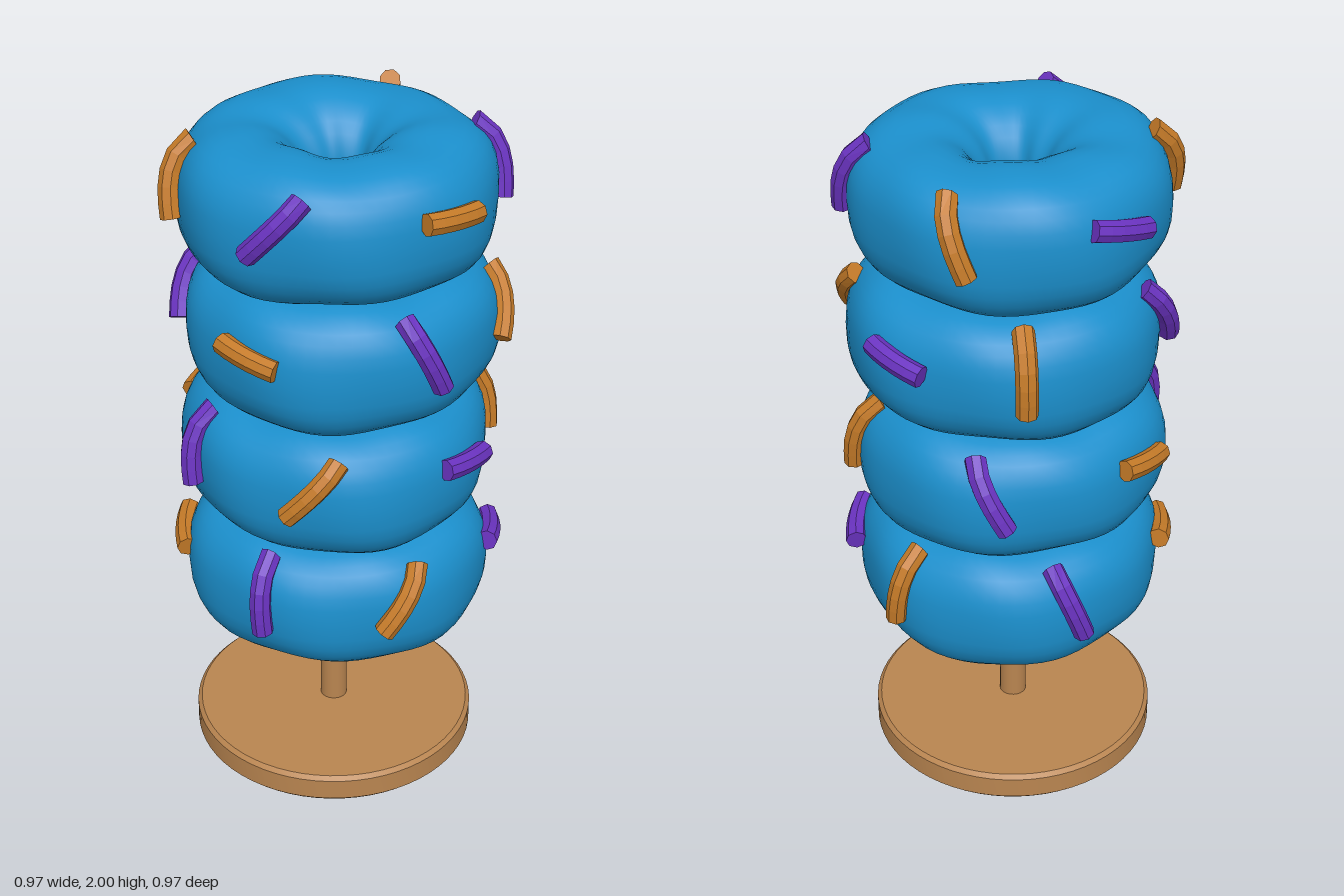
import * as THREE from 'three';
import { mergeVertices, toCreasedNormals } from 'three/addons/utils/BufferGeometryUtils.js';
import { ParametricGeometry } from 'three/addons/geometries/ParametricGeometry.js';

const mat = (color, flatShading = false) => new THREE.MeshStandardMaterial({ color, flatShading });
const rad = THREE.MathUtils.degToRad;

const RING = 0.26, WIDE = 0.18, HALF = 0.193, POW = 2.5; // ring section sizes

// Outer radius of a ring at height y from its middle
function surfaceRadius(y) {
  const k = Math.min(1, Math.abs(y / HALF));
  return RING + WIDE * Math.pow(1 - Math.pow(k, POW), 1 / POW);
}

// Plump, slightly uneven ring with a squared outside and a rounder hole
function ringGeometry(seed) {
  const geo = new ParametricGeometry((u, v, out) => {
    const a = u * Math.PI * 2, b = v * Math.PI * 2;
    const c = Math.cos(b), s = Math.sin(b);
    const p = 2 / (c > 0 ? POW : 2.1);
    const wobble = 0.006 * Math.sin(3 * a + seed) + 0.004 * Math.sin(7 * a + 2 * b + seed * 2);
    const r = RING + Math.sign(c) * Math.pow(Math.abs(c), p) * (WIDE + wobble);
    const y = Math.sign(s) * Math.pow(Math.abs(s), p) * (HALF + wobble * 0.8);
    out.set(r * Math.sin(a), y, r * Math.cos(a));
  }, 64, 32);
  geo.deleteAttribute('uv');
  geo.deleteAttribute('normal');
  const merged = mergeVertices(geo, 1e-4);
  merged.computeVertexNormals();
  return merged;
}

// Short rod bent over the ring surface; angle is around the ring, tilt is from upright
function sprinkleGeometry(angle, tilt, y0, length) {
  const geo = new THREE.CylinderGeometry(0.031, 0.031, length, 8, 5);
  const path = (t) => {
    const y = y0 + t * Math.cos(tilt);
    const a = angle + t * Math.sin(tilt) / 0.44;
    const r = surfaceRadius(y) + 0.016;
    return new THREE.Vector3(r * Math.sin(a), y, r * Math.cos(a));
  };
  const pos = geo.attributes.position;
  const out = new THREE.Vector3(Math.sin(angle), 0, Math.cos(angle));
  for (let i = 0; i < pos.count; i++) {
    const t = pos.getY(i);
    const along = path(t + 0.005).sub(path(t - 0.005)).normalize();
    const side = new THREE.Vector3().crossVectors(along, out).normalize();
    const up = new THREE.Vector3().crossVectors(side, along);
    const p = path(t).addScaledVector(side, pos.getX(i)).addScaledVector(up, pos.getZ(i));
    pos.setXYZ(i, p.x, p.y, p.z);
  }
  geo.computeVertexNormals();
  return geo;
}

// Rings from bottom to top: offset, height, and [angle, tilt] of flat, steep and slanted sprinkles in turn
const rings = [
  { x: 0.018, y: 0.645, first: 0, sprinkles: [[251, 97], [310, -5], [4, 38], [67, 98], [117, 6], [184, -20]] },
  { x: 0.012, y: 1.03, first: 0, sprinkles: [[217, 100], [275, -8], [331, 42], [33, 98], [84, 8], [153, -28]] },
  { x: 0.028, y: 1.415, first: 0, sprinkles: [[305, 100], [10, -24], [62, 42], [120, 100], [168, 0], [240, -30]] },
  { x: 0.01, y: 1.804, first: 0, sprinkles: [[22, 96], [75, 14], [141, -22], [200, 104], [261, -18], [318, 42]] },
];

export function createModel() {
  const model = new THREE.Group();
  const wood = mat(0xb98550), icing = mat(0x1b8fcc);
  const candy = [mat(0xc47a28, true), mat(0x6a33c0, true)];

  // Stand: chamfered disc and post
  const stand = new THREE.Group();
  stand.name = 'stand';
  stand.position.set(0.005, 0, -0.012);
  const outline = [[0, 0], [0.41, 0], [0.422, 0.012], [0.422, 0.076], [0.41, 0.088], [0, 0.088]];
  const disc = new THREE.LatheGeometry(outline.map(([x, y]) => new THREE.Vector2(x, y)), 64);
  const base = new THREE.Mesh(toCreasedNormals(disc, 0.5), wood);
  base.name = 'base';
  const post = new THREE.Mesh(new THREE.CylinderGeometry(0.04, 0.04, 1.68, 24), wood);
  post.name = 'post';
  post.position.y = 0.92;
  stand.add(base, post);
  model.add(stand);

  // Stacked rings with their sprinkles
  rings.forEach(({ x, y, sprinkles }, i) => {
    const ring = new THREE.Group();
    ring.name = 'ring' + (i + 1);
    ring.position.set(x, y, -0.01);
    const body = new THREE.Mesh(ringGeometry(i * 1.7), icing);
    body.name = 'ringBody';
    ring.add(body);
    sprinkles.forEach(([angle, tilt], k) => {
      const flat = k % 3 === 0;
      const geo = sprinkleGeometry(rad(angle), rad(tilt), flat ? 0.065 : 0.07, flat ? 0.18 : 0.21);
      const sprinkle = new THREE.Mesh(geo, candy[k % 2]);
      sprinkle.name = 'sprinkle';
      ring.add(sprinkle);
    });
    model.add(ring);
  });
  return model;
}
